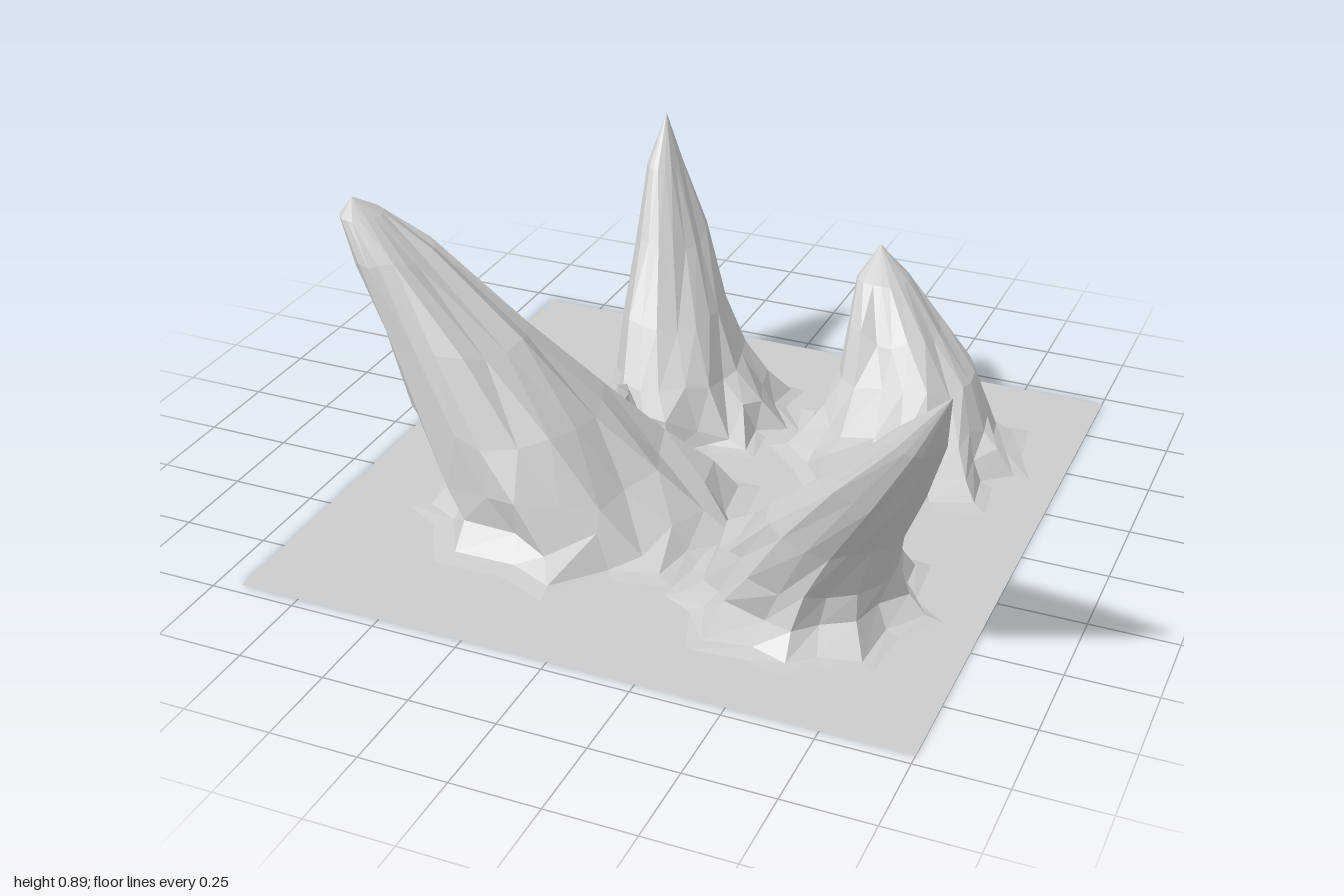
import * as THREE from 'three';

const SIDES = 18;
const material = new THREE.MeshStandardMaterial({ color: 0xcccccc, flatShading: true, side: THREE.DoubleSide });

// Repeatable value in -1..1
function hash(n) {
  const s = Math.sin(n * 127.1 + 11.7) * 43758.5453;
  return 2 * (s - Math.floor(s)) - 1;
}

// Each level: y, xMin, xMax, zMin, zMax; power sets how square the outline is
const SPIKES = [
  { name: 'largeLeaningSpike', seed: 1, power: 2, tip: [-0.97, 0.845, 0.2], levels: [
    [0.01, -0.65, 0.2, -0.14, 0.62], [0.06, -0.64, 0.12, -0.14, 0.57], [0.15, -0.68, -0.03, -0.12, 0.55],
    [0.3, -0.75, -0.2, -0.05, 0.5], [0.5, -0.84, -0.43, 0.03, 0.42], [0.7, -0.94, -0.72, 0.09, 0.34],
    [0.8, -1, -0.88, 0.13, 0.27]] },
  { name: 'frontCornerSpike', seed: 2, power: 2, tip: [0.985, 0.89, 0.77], levels: [
    [0.01, 0.2, 0.81, 0.09, 0.74], [0.06, 0.23, 0.77, 0.12, 0.66], [0.15, 0.31, 0.76, 0.18, 0.64],
    [0.3, 0.43, 0.8, 0.31, 0.66], [0.5, 0.61, 0.88, 0.45, 0.71], [0.7, 0.8, 0.95, 0.6, 0.75]] },
  { name: 'tallBackSpike', seed: 3, power: 2.2, tip: [-0.41, 0.84, -0.77], levels: [
    [0.01, -0.46, 0.11, -0.73, -0.16], [0.06, -0.43, 0.05, -0.71, -0.17], [0.15, -0.42, -0.04, -0.71, -0.23],
    [0.3, -0.43, -0.13, -0.73, -0.34], [0.5, -0.44, -0.23, -0.76, -0.5], [0.7, -0.44, -0.34, -0.78, -0.64]] },
  { name: 'shortBackSpike', seed: 4, power: 2.6, tip: [0.3, 0.5, -0.8], levels: [
    [0.01, 0.2, 0.83, -0.73, -0.13], [0.05, 0.22, 0.78, -0.72, -0.19], [0.1, 0.25, 0.74, -0.73, -0.27],
    [0.2, 0.26, 0.67, -0.76, -0.42], [0.3, 0.26, 0.54, -0.79, -0.54], [0.42, 0.25, 0.41, -0.82, -0.67]] },
];

// Low rock between the large spike and the tall back spike
const LINK_ROCK = { name: 'linkRock', seed: 5, power: 2, tip: [-0.33, 0.17, -0.2], levels: [
  [0.01, -0.56, -0.24, -0.25, 0.03], [0.07, -0.46, -0.25, -0.25, 0.03], [0.15, -0.39, -0.28, -0.25, 0.02]] };

// Strength of the alternating toes, and of the random jags, from the foot upward
const TOE = [0.07, 0.06, 0.035];
const JAG = [0.06, 0.05, 0.04];

// One jagged horizontal ring of a spike
function ring({ seed, power, levels }, k) {
  const [y, x0, x1, z0, z1] = levels[k];
  const points = [];
  for (let i = 0; i < SIDES; i++) {
    const a = (i / SIDES) * Math.PI * 2 + (0.08 * hash(seed * 70 + i));
    const c = Math.cos(a), s = Math.sin(a);
    const round = (Math.abs(c) ** power + Math.abs(s) ** power) ** (-1 / power);
    const toe = (TOE[k] ?? 0.01) * (i % 2 ? -1.3 : 1);
    const jag = (JAG[k] ?? 0.025) * hash(seed * 500 + k * 31 + i);
    const r = round * (1 + toe + jag);
    const lift = (k < 2 ? 0.6 * y : 0.02) * hash(seed * 900 + k * 17 + i);
    points.push([
      (x0 + x1) / 2 + c * r * (x1 - x0) / 2,
      y + (k === levels.length - 1 ? 0 : lift),
      (z0 + z1) / 2 + s * r * (z1 - z0) / 2,
    ]);
  }
  return points;
}

// The foot outline scaled about its centre and laid at a height
function footOutline(spike, scale, y) {
  const [, x0, x1, z0, z1] = spike.levels[0];
  const cx = (x0 + x1) / 2, cz = (z0 + z1) / 2;
  return ring(spike, 0).map(([x, , z]) => [cx + (x - cx) * scale, y, cz + (z - cz) * scale]);
}

// Hollow spike, open at the bottom, with a shallow apron fading into the ground
function buildSpike(spike) {
  const rings = [footOutline(spike, 1.15, 0.001), ...spike.levels.map((_, k) => ring(spike, k))];
  const positions = rings.flat(2);
  positions.push(...spike.tip);
  const index = [];
  const tip = rings.length * SIDES;
  for (let k = 0; k < rings.length; k++) {
    for (let i = 0; i < SIDES; i++) {
      const a = k * SIDES + i;
      const b = k * SIDES + (i + 1) % SIDES;
      if (k === rings.length - 1) index.push(b, a, tip);
      else index.push(b, a, a + SIDES, b, a + SIDES, b + SIDES);
    }
  }
  const indexed = new THREE.BufferGeometry();
  indexed.setAttribute('position', new THREE.Float32BufferAttribute(positions, 3));
  indexed.setIndex(index);
  const geometry = indexed.toNonIndexed();
  geometry.computeVertexNormals();
  const mesh = new THREE.Mesh(geometry, material);
  mesh.name = spike.name;
  return mesh;
}

// Thin square ground sheet with an opening under every spike
function buildGround() {
  const x0 = -0.93, x1 = 1, z = 0.965;
  const shape = new THREE.Shape([[x0, -z], [x1, -z], [x1, z], [x0, z]].map(p => new THREE.Vector2(...p)));
  for (const spike of SPIKES) {
    const outline = footOutline(spike, 0.94, 0).map(p => new THREE.Vector2(p[0], -p[2]));
    shape.holes.push(new THREE.Path(outline));
  }
  const geometry = new THREE.ShapeGeometry(shape);
  geometry.rotateX(-Math.PI / 2);
  const mesh = new THREE.Mesh(geometry, material);
  mesh.name = 'ground';
  return mesh;
}

export function createModel() {
  const group = new THREE.Group();
  group.name = 'rockSpikes';
  group.add(buildGround(), ...SPIKES.map(buildSpike), buildSpike(LINK_ROCK));
  return group;
}
